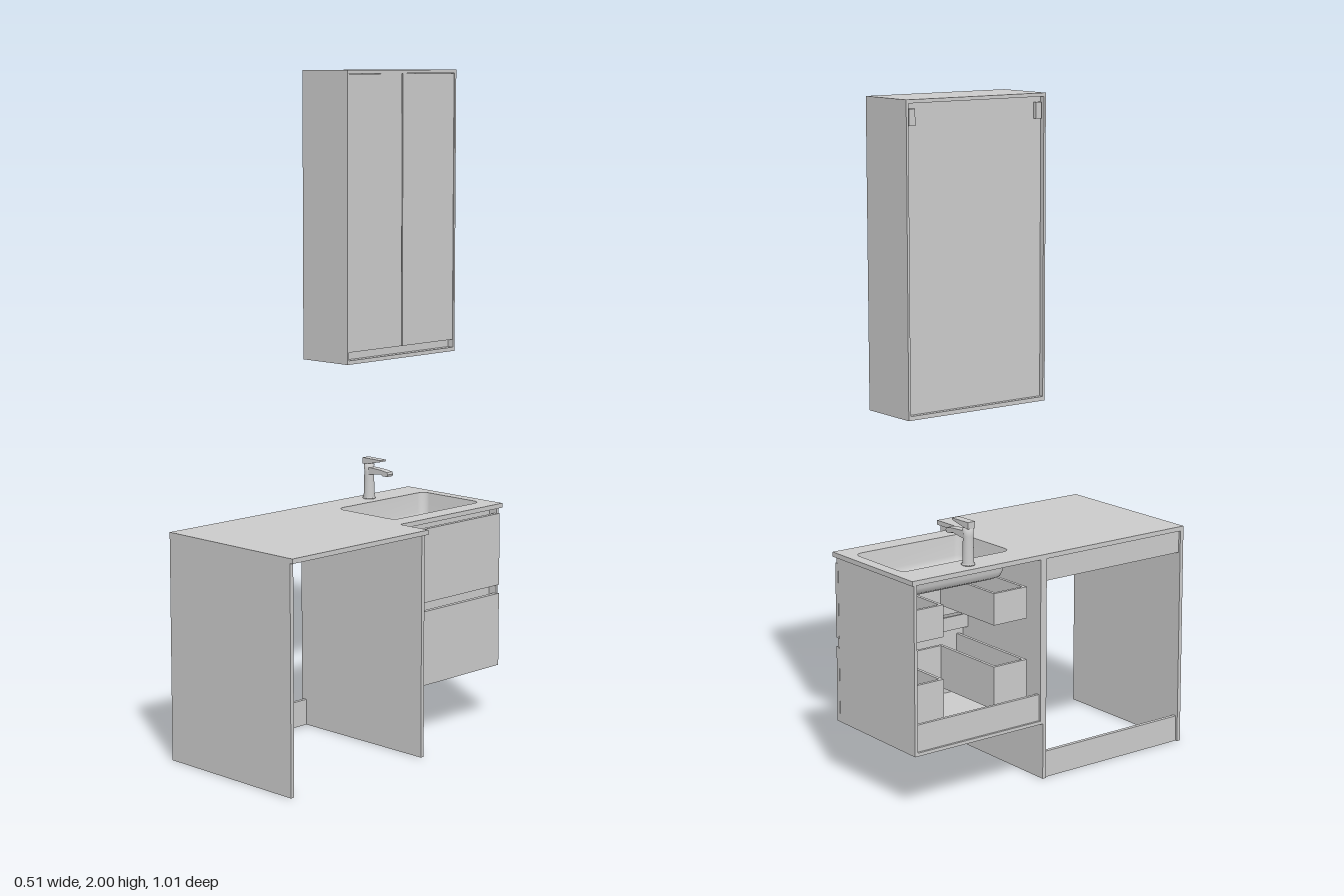
import * as THREE from 'three';

const grey = new THREE.MeshStandardMaterial({ color: 0xcccccc });
const greyBoth = new THREE.MeshStandardMaterial({ color: 0xcccccc, side: THREE.DoubleSide });

// Box given by its limits on each axis
function box(parent, name, [x0, x1], [y0, y1], [z0, z1]) {
  const mesh = new THREE.Mesh(new THREE.BoxGeometry(x1 - x0, y1 - y0, z1 - z0), grey);
  mesh.position.set((x0 + x1) / 2, (y0 + y1) / 2, (z0 + z1) / 2);
  mesh.name = name;
  parent.add(mesh);
  return mesh;
}

function group(parent, name) {
  const g = new THREE.Group();
  g.name = name;
  parent.add(g);
  return g;
}

// Rounded rectangle as a list of points in x and z
function roundedRect(x0, x1, z0, z1, r, steps = 8) {
  const pts = [];
  const corners = [[x1 - r, z1 - r], [x0 + r, z1 - r], [x0 + r, z0 + r], [x1 - r, z0 + r]];
  corners.forEach(([cx, cz], i) => {
    for (let k = 0; k <= steps; k++) {
      const a = (i + k / steps) * Math.PI / 2;
      pts.push(new THREE.Vector2(cx + r * Math.cos(a), cz + r * Math.sin(a)));
    }
  });
  return pts;
}

const basinRim = { x0: -0.16, x1: 0.08, z0: -0.465, z1: -0.082, r: 0.025 };
const topY = 0.682;

// L-shaped worktop with the basin opening
function buildWorktop(parent) {
  const outline = [[-0.257, -0.5], [0.14, -0.5], [0.14, -0.043], [0.254, -0.043], [0.254, 0.505], [-0.257, 0.505]];
  const shape = new THREE.Shape(outline.map(([x, z]) => new THREE.Vector2(x, z)));
  const { x0, x1, z0, z1, r } = basinRim;
  shape.holes.push(new THREE.Path(roundedRect(x0, x1, z0, z1, r)));
  const geo = new THREE.ExtrudeGeometry(shape, { depth: 0.014, bevelEnabled: false });
  geo.rotateX(Math.PI / 2);
  const top = new THREE.Mesh(geo, grey);
  top.position.y = topY;
  top.name = 'worktop';
  parent.add(top);
}

// Basin: rounded rectangles stacked downwards, closed by the floor
function buildBasin(parent) {
  const { x0, x1, z0, z1, r } = basinRim;
  const levels = [[0, 0], [0.008, 0.06], [0.014, 0.077], [0.028, 0.085]];
  const pos = [], index = [];
  let n = 0;
  levels.forEach(([inset, depth]) => {
    const ring = roundedRect(x0 + inset, x1 - inset, z0 + inset, z1 - inset, r);
    n = ring.length;
    ring.forEach(p => pos.push(p.x, topY - depth, p.y));
  });
  for (let l = 0; l < levels.length - 1; l++) {
    for (let i = 0; i < n; i++) {
      const a = l * n + i, b = l * n + (i + 1) % n;
      index.push(a, b, a + n, b, b + n, a + n);
    }
  }
  const last = (levels.length - 1) * n;
  pos.push((x0 + x1) / 2, topY - 0.087, (z0 + z1) / 2);
  for (let i = 0; i < n; i++) index.push(last + i, last + (i + 1) % n, last + n);
  const geo = new THREE.BufferGeometry();
  geo.setAttribute('position', new THREE.Float32BufferAttribute(pos, 3));
  geo.setIndex(index);
  geo.computeVertexNormals();
  const basin = new THREE.Mesh(geo, greyBoth);
  basin.name = 'basin';
  parent.add(basin);
  // Drain
  const drain = new THREE.Mesh(new THREE.CylinderGeometry(0.018, 0.018, 0.004, 24), grey);
  drain.position.set(-0.04, topY - 0.084, -0.272);
  drain.name = 'drain';
  parent.add(drain);
}

function buildTap(parent) {
  const tap = group(parent, 'tap');
  tap.position.set(-0.21, topY, -0.272);
  const profile = [[0, 0], [0.02, 0], [0.02, 0.004], [0.017, 0.006], [0.015, 0.085], [0.016, 0.108], [0, 0.11]];
  const body = new THREE.Mesh(new THREE.LatheGeometry(profile.map(p => new THREE.Vector2(...p)), 24), grey);
  body.name = 'tapBody';
  // Spout and lever are side outlines extruded across the tap
  const slab = (name, pts, width) => {
    const shape = new THREE.Shape(pts.map(p => new THREE.Vector2(...p)));
    const geo = new THREE.ExtrudeGeometry(shape, { depth: width, bevelEnabled: false });
    geo.translate(0, 0, -width / 2);
    const mesh = new THREE.Mesh(geo, grey);
    mesh.name = name;
    tap.add(mesh);
  };
  slab('spout', [[0, 0.076], [0.06, 0.084], [0.07, 0.079], [0.088, 0.079], [0.091, 0.086], [0.088, 0.093], [0.06, 0.097], [0, 0.1]], 0.024);
  slab('lever', [[-0.016, 0.108], [0.014, 0.112], [0.06, 0.122], [0.06, 0.127], [-0.016, 0.128]], 0.026);
  tap.add(body);
}

// Open-backed drawer with a gap at the rear for pipes
function buildDrawer(parent, name, y0, y1, boxTop) {
  const drawer = group(parent, name);
  const bottom = y0 + 0.06;
  box(drawer, 'drawerFront', [0.12, 0.134], [y0, y1], [-0.495, -0.038]);
  box(drawer, 'drawerFloor', [-0.2, 0.12], [bottom, bottom + 0.01], [-0.47, -0.36]);
  box(drawer, 'drawerFloor', [-0.2, 0.12], [bottom, bottom + 0.01], [-0.18, -0.065]);
  box(drawer, 'drawerFloor', [0.06, 0.12], [bottom, bottom + 0.01], [-0.36, -0.18]);
  for (const z of [-0.475, -0.37, -0.18, -0.07])
    box(drawer, 'drawerSide', [-0.2, z < -0.4 || z > -0.1 ? 0.12 : 0.06], [bottom, boxTop], [z, z + 0.01]);
  for (const z of [[-0.475, -0.36], [-0.18, -0.06]])
    box(drawer, 'drawerBack', [-0.21, -0.2], [bottom, boxTop], z);
  box(drawer, 'pipeRecess', [0.05, 0.06], [bottom, boxTop], [-0.37, -0.17]);
}

function buildVanity(parent) {
  const cabinet = group(parent, 'drawerCabinet');
  box(cabinet, 'cabinetSide', [-0.257, 0.119], [0.17, 0.668], [-0.495, -0.485]);
  box(cabinet, 'cabinetSide', [-0.257, 0.119], [0.17, 0.668], [-0.046, -0.036]);
  box(cabinet, 'cabinetBottom', [-0.257, 0.119], [0.17, 0.18], [-0.485, -0.046]);
  box(cabinet, 'backRail', [-0.25, -0.24], [0.18, 0.26], [-0.485, -0.046]);
  buildDrawer(cabinet, 'lowerDrawer', 0.17, 0.398, 0.36);
  buildDrawer(cabinet, 'upperDrawer', 0.425, 0.65, 0.58);
  // Finger grooves above each drawer front
  for (const y of [0.398, 0.65]) {
    const h = y < 0.5 ? 0.027 : 0.018;
    box(cabinet, 'grooveBack', [0.095, 0.102], [y - 0.015, y + h], [-0.485, -0.046]);
    box(cabinet, 'grooveFloor', [0.102, 0.119], [y - 0.015, y - 0.01], [-0.485, -0.046]);
    for (const z of [-0.493, -0.046]) box(cabinet, 'grooveEnd', [0.119, 0.13], [y, y + h], [z, z + 0.008]);
  }
}

// Two full-height panels joined by rails at the back
function buildWasherBay(parent) {
  const bay = group(parent, 'applianceBay');
  box(bay, 'endPanel', [-0.257, 0.245], [0, 0.668], [0.493, 0.505]);
  box(bay, 'dividerPanel', [-0.257, 0.245], [0, 0.668], [-0.036, -0.024]);
  box(bay, 'topRail', [-0.25, -0.238], [0.6, 0.668], [-0.024, 0.493]);
  box(bay, 'bottomRail', [-0.25, -0.238], [0, 0.08], [-0.024, 0.493]);
}

function buildWallCabinet(parent) {
  const cab = group(parent, 'wallCabinet');
  const x = [-0.257, -0.069];
  for (const z of [[-0.507, -0.5], [-0.042, -0.035]]) box(cab, 'wallCabinetSide', x, [1.135, 2], z);
  box(cab, 'wallCabinetTop', x, [1.99, 2], [-0.5, -0.042]);
  box(cab, 'wallCabinetBottom', x, [1.135, 1.147], [-0.5, -0.042]);
  box(cab, 'wallCabinetBack', [-0.243, -0.236], [1.147, 1.99], [-0.5, -0.042]);
  box(cab, 'doorGroove', [-0.1, -0.09], [1.147, 1.175], [-0.5, -0.042]);
  // Doors
  for (const z of [[-0.499, -0.273], [-0.269, -0.043]]) box(cab, 'door', [-0.086, -0.071], [1.171, 1.989], z);
  box(cab, 'doorDivider', [-0.236, -0.087], [1.171, 1.99], [-0.275, -0.267]);
  // Hanging brackets
  for (const z of [-0.495, -0.067]) box(cab, 'hangingBracket', [-0.253, -0.243], [1.93, 1.975], [z, z + 0.02]);
}

export function createModel() {
  const model = new THREE.Group();
  model.name = 'bathroomFurniture';
  buildWorktop(model);
  buildBasin(model);
  buildTap(model);
  buildVanity(model);
  buildWasherBay(model);
  buildWallCabinet(model);
  return model;
}
